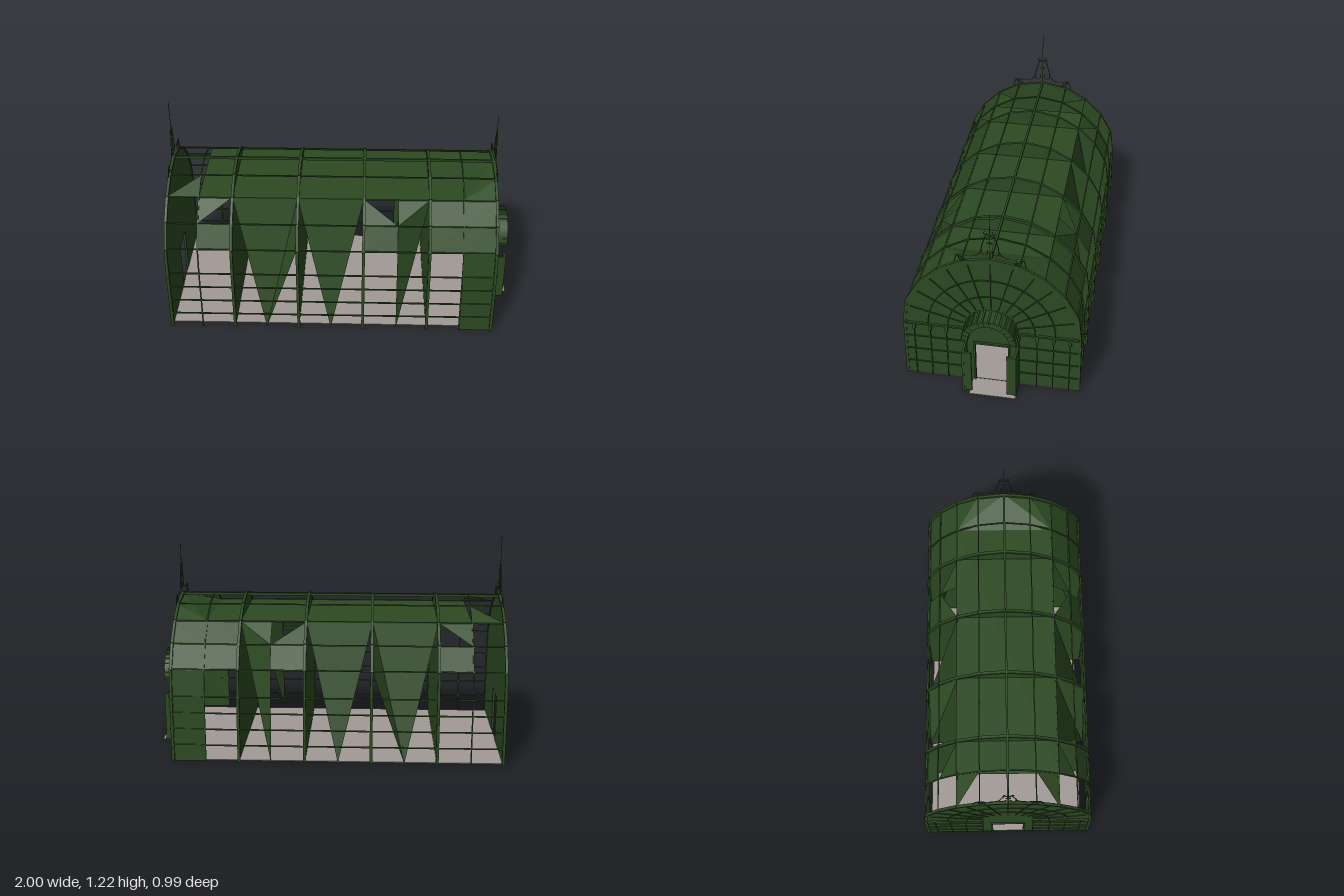
import * as THREE from 'three';

// Half of the arched section as [z, y], from the ground to the ridge
const HALF = [[0.485, 0], [0.482, 0.38], [0.465, 0.53], [0.39, 0.665], [0.283, 0.77], [0.155, 0.84], [0, 0.868]];
const ARCH = [...HALF, ...HALF.slice(0, -1).reverse().map(([z, y]) => [-z, y])];
const BACK = -0.99, FRONT = 0.88;

const zAt = (y) => {
  for (let i = 1; i < HALF.length; i++) {
    const [z0, y0] = HALF[i - 1], [z1, y1] = HALF[i];
    if (y <= y1) return z0 + (z1 - z0) * (y - y0) / (y1 - y0);
  }
  return 0;
};

export function createModel() {
  const model = new THREE.Group();
  const green = new THREE.MeshStandardMaterial({ color: 0x2c4922, side: THREE.DoubleSide, flatShading: true });
  green.name = 'painted green';
  const grey = new THREE.MeshStandardMaterial({ color: 0xa29a96 });
  grey.name = 'stone grey';

  const add = (name, geometry, material = green, parent = model) => {
    const mesh = new THREE.Mesh(geometry, material);
    mesh.name = name;
    parent.add(mesh);
    return mesh;
  };
  const group = (name) => {
    const g = new THREE.Group();
    g.name = name;
    model.add(g);
    return g;
  };
  const box = (name, w, h, d, x, y, z, parent, material) => {
    const mesh = add(name, new THREE.BoxGeometry(w, h, d), material, parent);
    mesh.position.set(x, y, z);
    return mesh;
  };
  // Square bar lying in a cross-section plane, between two [z, y] points
  const crossBar = (name, x, a, b, width, depth, parent) => {
    const dz = b[0] - a[0], dy = b[1] - a[1];
    const mesh = box(name, width, depth, Math.hypot(dz, dy), x, (a[1] + b[1]) / 2, (a[0] + b[0]) / 2, parent);
    mesh.rotation.x = -Math.atan2(dy, dz);
  };
  // Flat sheet fanned from its first corner
  const sheet = (name, corners, parent) => {
    const p = [];
    for (let i = 1; i < corners.length - 1; i++) p.push(...corners[0], ...corners[i], ...corners[i + 1]);
    const g = new THREE.BufferGeometry();
    g.setAttribute('position', new THREE.Float32BufferAttribute(p, 3));
    g.computeVertexNormals();
    add(name, g, green, parent);
  };
  // Extrudes a cross-section shape along x, centred on x
  const slab = (name, shape, x, depth, parent) => {
    const g = new THREE.ExtrudeGeometry(shape, { depth, bevelEnabled: false, curveSegments: 14 });
    g.rotateY(Math.PI / 2).translate(x - depth / 2, 0, 0);
    return add(name, g, green, parent);
  };

  // Floor
  box('floor', FRONT - BACK, 0.004, 0.92, (FRONT + BACK) / 2, 0.002, -0.01, model, grey);
  box('porchFloor', 0.12, 0.004, 0.26, 0.94, 0.002, -0.02, model, grey);

  // Arched ribs
  const ribs = group('archedRibs');
  const rib = (x, width, depth) => {
    for (let i = 1; i < ARCH.length; i++) crossBar('rib', x, ARCH[i - 1], ARCH[i], width, depth, ribs);
  };
  const bays = [-0.62, -0.247, 0.127, 0.5];
  [BACK, ...bays, FRONT - 0.005].forEach((x) => rib(x, 0.016, 0.016));
  [-0.81, 0.69].forEach((x) => rib(x, 0.007, 0.008));

  // Long rails
  const rails = group('rails');
  const railLength = FRONT - BACK, mid = (FRONT + BACK) / 2;
  box('ridge', railLength, 0.015, 0.012, mid, 0.866, 0, rails);
  for (const s of [1, -1])
    for (const y of [0.095, 0.19, 0.285, 0.38, 0.535, 0.662, 0.77, 0.84])
      box('rail', railLength, 0.007, 0.007, mid, y, s * zAt(y), rails);

  // Side panels, given as [x, y] corners on the curved section
  const panels = group('sidePanels');
  const T = 0.77, M = 0.662, L = 0.535;
  const outlines = [
    [[-0.62, T], [-0.435, 0], [-0.25, T]],
    [[-0.435, 0], [-0.25, L], [-0.25, T]],
    [[-0.25, T], [-0.06, 0], [0.125, T]],
    [[0.32, 0], [0.5, T], [0.32, M]],
    [[-0.81, L], [-0.62, L], [-0.62, M], [-0.81, M]],
    [[-0.81, M], [-0.62, T], [-0.81, T]],
    [[0.125, L], [0.32, L], [0.32, M], [0.125, M]],
    [[0.125, T], [0.125, M], [0.32, M]],
    [[0.32, M], [0.5, T], [0.32, T]],
    [[0.5, L], [0.69, L], [0.69, M], [0.5, M]],
    [[0.5, M], [0.69, M], [0.69, T], [0.5, T]],
    [[-0.99, T], [-0.81, T], [-0.81, 0.838]],
    [[0.69, T], [FRONT, T], [FRONT, 0.838]],
  ];
  const steps = [0, 0.38, 0.53, M, T];
  for (let i = 1; i < steps.length; i++)
    outlines.push([[0.69, steps[i - 1]], [FRONT, steps[i - 1]], [FRONT, steps[i]], [0.69, steps[i]]]);
  for (const s of [1, -1])
    for (const o of outlines) sheet('sidePanel', o.map(([x, y]) => [x, y, s * (zAt(y) - 0.003)]), panels);

  // Roof panels: flat deck, rising to the arch at the front
  const roof = group('roofPanels');
  const rz = zAt(T);
  sheet('roofDeck', [[-0.81, T, rz], [0.69, T, rz], [0.69, T, -rz], [-0.81, T, -rz]], roof);
  for (const s of [1, -1])
    sheet('roofRise', [[0.69, T, s * rz], [FRONT, 0.838, s * 0.155], [FRONT, 0.865, 0]], roof);
  sheet('roofRise', [[0.69, T, rz], [FRONT, 0.865, 0], [0.69, T, -rz]], roof);

  // End walls with doorways, and closed cross walls at the ribs
  const wallShape = () => new THREE.Shape(ARCH.map(([z, y]) => new THREE.Vector2(z, y)));
  for (const [name, x] of [['frontWall', FRONT - 0.004], ['backWall', BACK]]) {
    const shape = wallShape();
    shape.holes.push(new THREE.Path([[-0.09, 0.005], [-0.09, 0.275], [0.09, 0.275], [0.09, 0.005]]
      .map((p) => new THREE.Vector2(...p))));
    slab(name, shape, x, 0.006, model);
  }
  const crossWalls = group('crossWalls');
  for (const x of bays) slab('crossWall', wallShape(), x, 0.004, crossWalls);

  // Glazing bars, bracket knobs and crest on each end wall
  for (const [x, out, tip] of [[FRONT, 1, 1.165], [BACK, -1, 1.22]]) {
    const trim = group(out > 0 ? 'frontTrim' : 'backTrim');
    const tx = x + out * 0.005;
    const ring = (k, n = 18) => {
      const pt = (i) => {
        const a = Math.PI * i / n;
        return [Math.cos(a) * 0.48 * k, 0.38 + Math.sin(a) * 0.485 * k];
      };
      for (let i = 0; i < n; i++) crossBar('ringBar', tx, pt(i), pt(i + 1), 0.006, 0.005, trim);
    };
    ring(0.5);
    ring(0.73);
    for (let i = 1; i < 12; i++) {
      const a = Math.PI * i / 12, c = Math.cos(a), s = Math.sin(a);
      crossBar('radialBar', tx, [c * 0.16, 0.38 + s * 0.16], [c * 0.46, 0.38 + s * 0.46], 0.005, 0.005, trim);
    }
    for (const s of [1, -1]) {
      box('transom', 0.012, 0.01, 0.33, tx, 0.38, s * 0.315, trim);
      for (const y of [0.095, 0.19, 0.285]) box('glazingBar', 0.006, 0.005, 0.33, tx, y, s * 0.315, trim);
      for (const z of [0.15, 0.25, 0.34, 0.43]) {
        box('mullion', 0.006, 0.38, 0.005, tx, 0.19, s * z, trim);
        box('bracket', 0.014, 0.035, 0.016, tx, 0.358, s * z, trim);
      }
      box('doorJamb', 0.012, 0.28, 0.01, tx, 0.148, s * 0.096, trim);
    }
    box('doorHead', 0.012, 0.012, 0.2, tx, 0.282, 0, trim);

    // Wrought crest
    const crest = group(out > 0 ? 'frontCrest' : 'backCrest');
    box('spike', 0.003, tip - 0.86, 0.003, x, (tip + 0.86) / 2, 0, crest);
    for (const y of [0.98, 1.03]) box('spikeCollar', 0.006, 0.006, 0.03, x, y, 0, crest);
    const curl = (z, y, r, start) => {
      const mesh = add('scroll', new THREE.TorusGeometry(r, 0.0022, 4, 14, Math.PI * 1.6), green, crest);
      mesh.position.set(x, y, z);
      mesh.rotation.set(0, Math.PI / 2, start);
    };
    for (const s of [1, -1]) {
      const stem = new THREE.CatmullRomCurve3([[0.19, 0.84], [0.17, 0.89], [0.1, 0.885], [0.055, 0.91], [0.04, 0.97], [0.018, 1.04]]
        .map(([z, y]) => new THREE.Vector3(x, y, s * z)));
      add('scrollStem', new THREE.TubeGeometry(stem, 20, 0.0025, 4), green, crest);
      curl(s * 0.15, 0.87, 0.016, 0.5);
      curl(s * 0.03, 0.92, 0.018, 2);
      curl(s * 0.022, 1.045, 0.009, 1);
      crossBar('crestLeaf', x, [s * 0.12, 0.85], [s * 0.18, 0.89], 0.004, 0.004, crest);
    }
  }

  // Porch with vaulted hood
  const porch = group('porch');
  const px = FRONT + 0.05;
  for (const s of [1, -1]) {
    box('porchWall', 0.1, 0.288, 0.012, px, 0.144, s * 0.144, porch);
    box('porchPost', 0.012, 0.28, 0.05, FRONT + 0.092, 0.148, s * 0.122, porch);
  }
  const hood = new THREE.Shape();
  hood.absarc(0, 0.38, 0.145, 0, Math.PI, false);
  hood.absarc(0, 0.38, 0.112, Math.PI, 0, true);
  slab('porchHood', hood, px, 0.098, porch);
  for (let i = 0; i <= 14; i++) {
    const a = Math.PI * i / 14, c = Math.cos(a), s = Math.sin(a);
    crossBar('hoodRib', px, [c * 0.112, 0.38 + s * 0.112], [c * 0.151, 0.38 + s * 0.151], 0.101, 0.012, porch);
  }
  return model;
}
